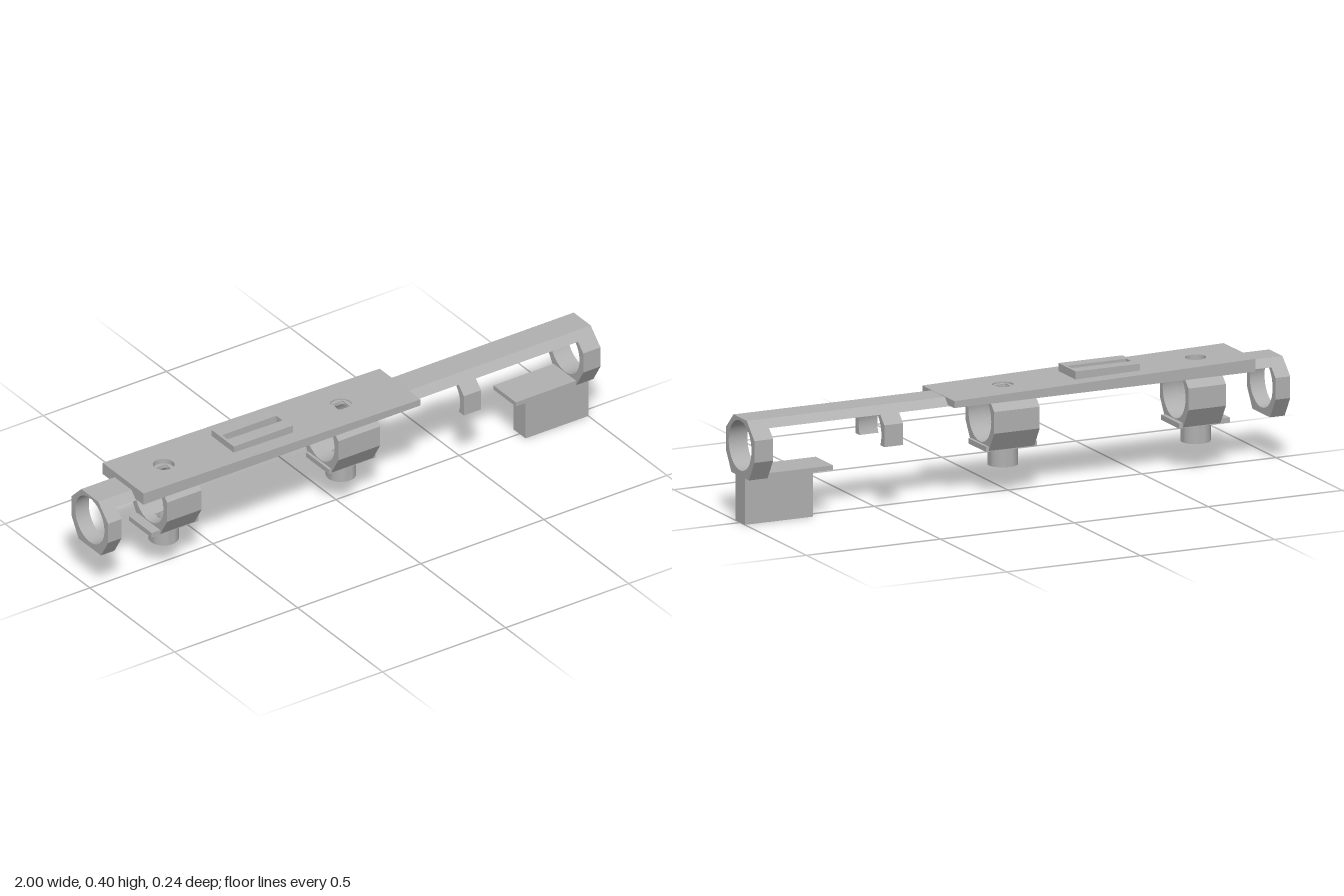
import * as THREE from 'three';
import { toCreasedNormals } from 'three/addons/utils/BufferGeometryUtils.js';

const R = 0.086, CY = 0.266, TOP = 0.362, HOLE = 0.022;
const HOLES = [-0.7, 0.02];

// right-hand outlines (half width, height) of the three cross-sections
const OUTER = {
  ring: [[0.05, TOP], [0.108, 0.305], [0.108, 0.23], [0.066, 0.16]],
  rail: [[0.05, TOP], [0.077, 0.335]],
  clip: [[0.05, TOP], [0.108, 0.305], [0.108, 0.23]],
};
// how far the bore wraps round, measured from the top
const WRAP = { ring: Math.PI, rail: Math.acos(0.069 / R), clip: Math.acos(-0.036 / R) };

const toShape = (pts) => new THREE.Shape(pts.map(([u, v]) => new THREE.Vector2(u, v)));
const flip = (pts) => pts.map(([u, v]) => [-u, v]).reverse();

function arc(from, to, n) {
  const pts = [];
  for (let i = 0; i <= n; i++) {
    const a = from + (to - from) * i / n;
    pts.push([R * Math.sin(a), CY + R * Math.cos(a)]);
  }
  return pts;
}

function sectionShapes(kind, gap) {
  const outer = OUTER[kind], wrap = WRAP[kind];
  if (gap) {
    // two halves leave room for the vertical screw hole
    const a = Math.asin(gap / R);
    const half = [[gap, TOP], ...outer, [gap, 0.16], ...arc(Math.PI - a, a, 24)];
    return [toShape(half), toShape(flip(half))];
  }
  if (kind === 'ring') {
    const s = toShape([...outer, ...flip(outer)]);
    s.holes.push(new THREE.Path().absarc(0, CY, R, 0, Math.PI * 2));
    return [s];
  }
  return [toShape([...outer, ...arc(wrap, -wrap, 24), ...flip(outer)])];
}

function alongX(shapes, x0, x1) {
  const g = new THREE.ExtrudeGeometry(shapes, { depth: x1 - x0, bevelEnabled: false, curveSegments: 24 });
  g.rotateY(Math.PI / 2).translate(x0, 0, 0);
  return toCreasedNormals(g, 0.4);
}

// flat slab seen from above, with round holes [x, radius]
function slab(x0, x1, halfZ, y0, y1, holes = []) {
  const s = toShape([[x0, -halfZ], [x1, -halfZ], [x1, halfZ], [x0, halfZ]]);
  for (const [x, r] of holes) s.holes.push(new THREE.Path().absarc(x, 0, r, 0, Math.PI * 2));
  const g = new THREE.ExtrudeGeometry(s, { depth: y1 - y0, bevelEnabled: false, curveSegments: 16 });
  return g.rotateX(-Math.PI / 2).translate(0, y0, 0);
}

export function createModel() {
  const model = new THREE.Group();
  const grey = new THREE.MeshStandardMaterial({ color: 0xb0b0b0 });
  grey.name = 'plain grey';
  const add = (name, geometry) => {
    const m = new THREE.Mesh(geometry, grey);
    m.name = name;
    model.add(m);
    return m;
  };
  const box = (name, x0, x1, y0, y1, z0, z1) =>
    add(name, new THREE.BoxGeometry(x1 - x0, y1 - y0, z1 - z0)
      .translate((x0 + x1) / 2, (y0 + y1) / 2, (z0 + z1) / 2));

  // rail, rings and clip, laid end to end along x
  const [h1, h2] = HOLES;
  const run = [
    [-1, 'ring', 'endRing'], [-0.945, 'rail', 'rail'],
    [-0.76, 'ring', 'clampRing'], [h1 - HOLE, 'ring', 'clampRingAtScrew', HOLE], [h1 + HOLE, 'ring', 'clampRing'],
    [-0.62, 'rail', 'rail'],
    [-0.065, 'ring', 'clampRing'], [h2 - HOLE, 'ring', 'clampRingAtScrew', HOLE], [h2 + HOLE, 'ring', 'clampRing'],
    [0.105, 'rail', 'rail'], [0.445, 'clip', 'openClip'], [0.515, 'rail', 'rail'],
    [0.93, 'ring', 'endRing'], [1],
  ];
  for (let i = 0; i < run.length - 1; i++) {
    const [x0, kind, name, gap] = run[i];
    add(name, alongX(sectionShapes(kind, gap), x0, run[i + 1][0]));
  }

  // top plate: level lower layer, sloping upper layer with counterbores, side strips
  const px0 = -0.865, px1 = 0.26;
  add('topPlateBase', slab(px0, px1, 0.12, 0.354, 0.358, HOLES.map((x) => [x, HOLE])));
  const upper = slab(px0, px1, 0.12, 0.358, 0.37, HOLES.map((x) => [x, 0.036]));
  const p = upper.attributes.position;
  for (let i = 0; i < p.count; i++) {
    if (p.getY(i) > 0.365) p.setY(i, 0.383 - 0.02 * (p.getX(i) - px0) / (px1 - px0));
  }
  upper.computeVertexNormals();
  add('topPlate', upper);
  for (const s of [-1, 1]) {
    box('topPlateEdge', px0, px1, 0.339, 0.354, Math.min(s * 0.055, s * 0.12), Math.max(s * 0.055, s * 0.12));
  }

  // raised frame with a long slot
  const frame = toShape([[-0.46, -0.065], [-0.22, -0.065], [-0.22, 0.065], [-0.46, 0.065]]);
  frame.holes.push(toShape([[-0.45, -0.018], [-0.45, 0.018], [-0.23, 0.018], [-0.23, -0.018]]));
  add('slottedFrame', new THREE.ExtrudeGeometry(frame, { depth: 0.035, bevelEnabled: false })
    .rotateX(-Math.PI / 2).translate(0, 0.364, 0));

  // foot plate and hollow screw boss under each clamp ring
  [[-0.795, -0.605], [-0.075, 0.115]].forEach(([x0, x1], i) => {
    add('footPlate', slab(x0, x1, 0.067, 0.159, 0.177, [[HOLES[i], HOLE]]));
    const profile = [[HOLE, 0.093], [0.051, 0.093], [0.051, 0.16], [HOLE, 0.16], [HOLE, 0.093]];
    const boss = new THREE.LatheGeometry(profile.map(([r, y]) => new THREE.Vector2(r, y)), 32);
    add('screwBoss', toCreasedNormals(boss.toNonIndexed(), 0.5)).position.x = HOLES[i];
  });

  // hanging block and shelf at the left end
  box('endBlock', 0.745, 1, 0, 0.166, -0.036, 0.036);
  box('endShelf', 0.685, 0.935, 0.161, 0.177, -0.066, 0.066);
  return model;
}
